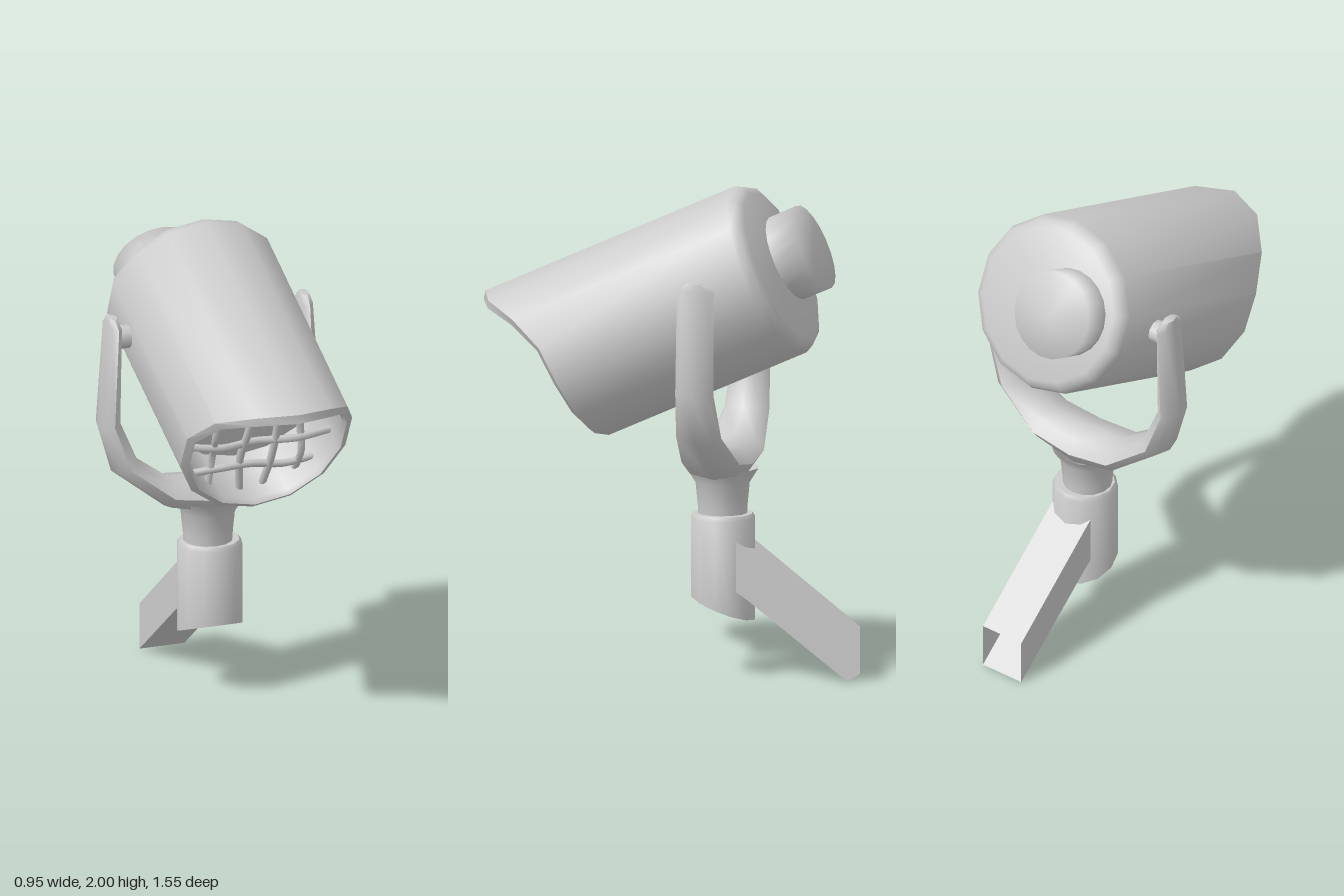
import * as THREE from 'three';
import { toCreasedNormals } from 'three/addons/utils/BufferGeometryUtils.js';

const material = new THREE.MeshStandardMaterial({ color: 0xcccccc, side: THREE.DoubleSide });

// Skins rings of points (counter-clockwise about the direction of travel).
function loft(rings, capStart = true, capEnd = true, crease = 0.85) {
  const n = rings[0].length, last = rings.length - 1;
  const points = rings.flat(), index = [];
  for (let k = 0; k < last; k++) {
    for (let i = 0; i < n; i++) {
      const j = (i + 1) % n, a = k * n, b = a + n;
      index.push(a + i, a + j, b + i, a + j, b + j, b + i);
    }
  }
  const cap = (k, flip) => {
    const center = new THREE.Vector3();
    rings[k].forEach((p) => center.addScaledVector(p, 1 / n));
    const c = points.push(center) - 1;
    for (let i = 0; i < n; i++) {
      const a = k * n + i, b = k * n + ((i + 1) % n);
      index.push(c, ...(flip ? [b, a] : [a, b]));
    }
  };
  if (capStart) cap(0, true);
  if (capEnd) cap(last, false);
  const geometry = new THREE.BufferGeometry().setFromPoints(points);
  geometry.setIndex(index);
  return toCreasedNormals(geometry, crease);
}

const ring = (sides, fn) =>
  Array.from({ length: sides }, (_, i) => new THREE.Vector3(...fn((i / sides) * Math.PI * 2)));

function add(parent, name, geometry) {
  const mesh = new THREE.Mesh(geometry, material);
  mesh.name = name;
  parent.add(mesh);
  return mesh;
}

// Lamp head, built along local z (front +z) and then tilted down.
function createHead() {
  const head = new THREE.Group();
  head.name = 'lampHead';

  // Housing: back face, bevelled shell, hooded front rim, hollow inside.
  const hood = (c) => -0.147 + 0.237 * Math.pow(Math.max(c, 0), 2.1);
  const section = (r, z) => ring(14, (t) => {
    const c = Math.sin(t + Math.PI / 2);
    return [-r * Math.sin(t), r * c, typeof z === 'number' ? z : z(c)];
  });
  add(head, 'housing', loft([
    section(0.32, -1.13),
    section(0.35, -1.115),
    section(0.367, -1.08),
    section(0.367, (c) => hood(c) - 0.02),
    section(0.337, hood),
    section(0.325, (c) => hood(c) - 0.02),
    section(0.32, -0.42),
  ]));

  // Protective grille of slightly wavy bars.
  const grille = new THREE.Group();
  grille.name = 'grille';
  head.add(grille);
  const bar = (offset, vertical, seed) => {
    const half = Math.sqrt(0.328 ** 2 - offset ** 2);
    const points = [-1, -0.5, 0, 0.5, 1].map((f, i) => {
      const wave = offset + 0.01 * Math.sin(seed * 2.3 + i * 1.9);
      const z = -0.24 + 0.014 * (vertical ? 1 : -1) * Math.cos(i * Math.PI + seed);
      return vertical ? new THREE.Vector3(wave, f * half, z) : new THREE.Vector3(f * half, wave, z);
    });
    add(grille, vertical ? 'verticalBar' : 'horizontalBar',
      new THREE.TubeGeometry(new THREE.CatmullRomCurve3(points), 16, 0.016, 6));
  };
  [-0.19, -0.05, 0.07, 0.19].forEach((x, i) => bar(x, true, i));
  [-0.2, -0.07, 0.07, 0.2].forEach((y, i) => bar(y, false, i + 5));

  // Round rear cap, set off-centre, with a softly shaded end.
  const profile = [[0.18, 0], [0.181, 0.125], [0.0001, 0.125]].map((p) => new THREE.Vector2(...p));
  const rear = add(head, 'rearCap', new THREE.LatheGeometry(profile, 20));
  rear.rotation.x = -Math.PI / 2;
  rear.position.set(-0.102, 0.011, -1.13);

  head.rotation.x = 0.427;
  head.position.set(0.012, 1.215, 0.553);
  return head;
}

// Forked yoke, swept from one arm tip through the base to the other.
function createYoke() {
  const yoke = new THREE.Group();
  yoke.name = 'yoke';
  // inner x, inner y, outer x, outer y, half depth
  const half = [
    [0.397, 1.66, 0.437, 1.66, 0.04],
    [0.385, 1.62, 0.443, 1.63, 0.078],
    [0.388, 1.22, 0.477, 1.2, 0.08],
    [0.31, 1.04, 0.42, 1.0, 0.095],
    [0.18, 0.947, 0.19, 0.82, 0.122],
    [0, 0.937, 0, 0.775, 0.125],
  ];
  const mirrored = half.slice(0, -1).reverse().map(([a, b, c, d, w]) => [-a, b, -c, d, w]);
  const rings = [...half, ...mirrored].map(([ix, iy, ox, oy, w]) => ring(8, (t) => {
    const f = (1 + Math.cos(t)) / 2;
    return [ix + (ox - ix) * f, iy + (oy - iy) * f, w * Math.sin(t)];
  }));
  add(yoke, 'fork', loft(rings, true, true, 1));

  // Flared neck under the fork.
  const neck = [[0.1, 0.62], [0.102, 0.68], [0.112, 0.78], [0.15, 0.84]];
  add(yoke, 'neck', new THREE.LatheGeometry(neck.map((p) => new THREE.Vector2(...p)), 14));

  // Pivot pins joining the arms to the housing.
  for (const side of [-1, 1]) {
    const pin = add(yoke, 'pivotPin', new THREE.CylinderGeometry(0.048, 0.048, 0.09, 10));
    pin.rotation.z = Math.PI / 2;
    pin.position.set(side * 0.375, 1.57, 0);
  }
  yoke.position.z = -0.226;
  return yoke;
}

// Collar with slanted underside, and the open square arm behind it.
function createMount() {
  const mount = new THREE.Group();
  mount.name = 'mount';
  const section = (r, y) => ring(12, (t) => {
    const z = r * Math.cos(t);
    return [0.01 + r * Math.sin(t), y ?? 0.27 + z * 0.38, z - 0.23];
  });
  add(mount, 'collar', loft([
    section(0.134),
    section(0.134, 0.635),
    section(0.122, 0.653),
  ]));

  const square = (z, bottom, top) => [[0.11, bottom], [-0.085, bottom], [-0.085, top], [0.11, top]]
    .map(([x, y]) => new THREE.Vector3(x, y, z));
  add(mount, 'supportArm', loft([
    square(-0.26, 0.38, 0.59),
    square(-0.36, 0.315, 0.515),
    square(-0.78, 0, 0.195),
  ], true, false));
  return mount;
}

export function createModel() {
  const model = new THREE.Group();
  model.name = 'spotlight';
  model.add(createHead(), createYoke(), createMount());
  return model;
}
